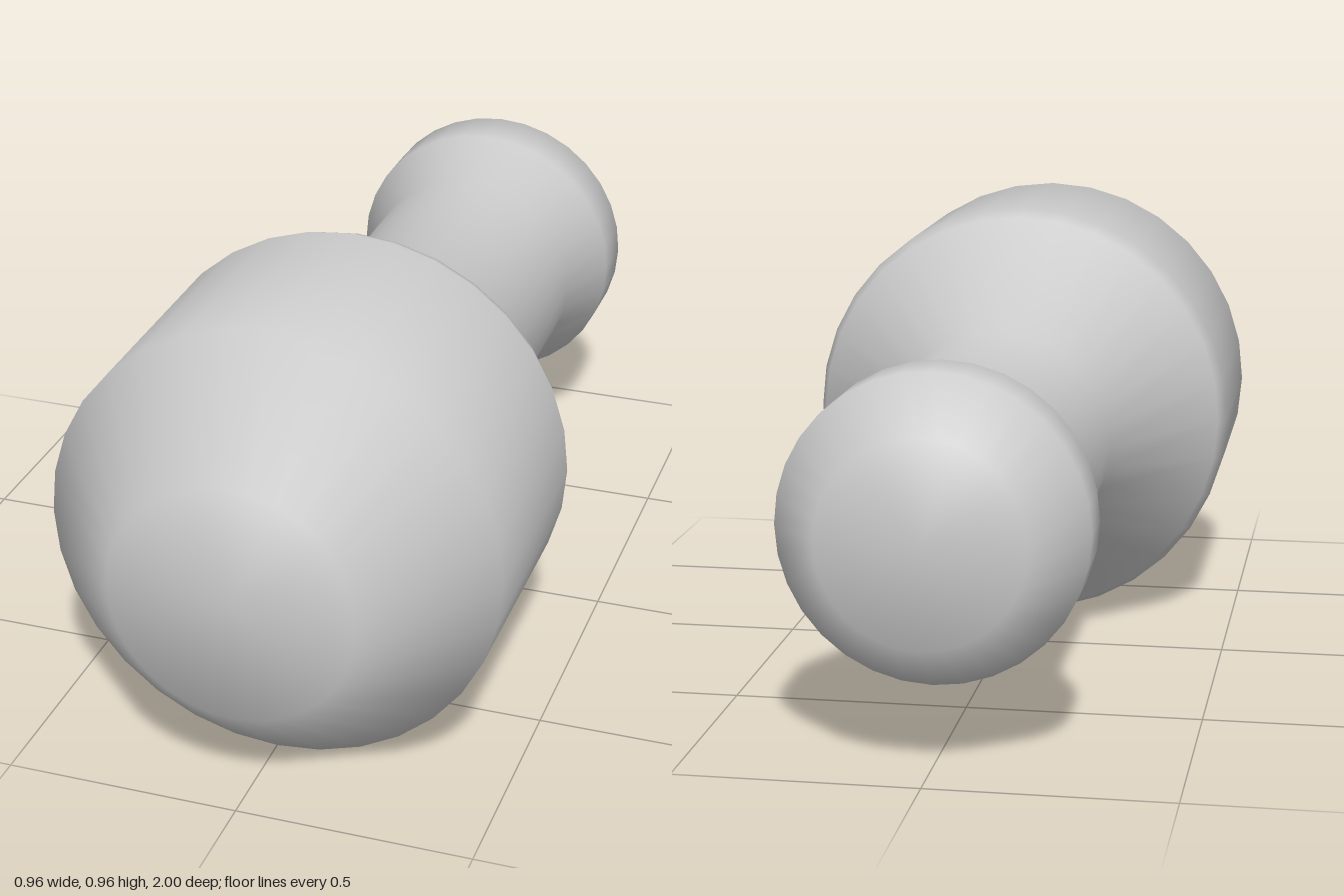
import * as THREE from 'three';

const RADIUS = 0.482;

// Radius and z along the axis, from the back of the handle to the front of the head
const PROFILE = [
  [0, -1], [0.208, -1],                    // pommel end
  [0.313, -0.875], [0.313, -0.75],         // pommel rim
  [0.25, -0.605], [0.25, -0.08],           // grip
  [0.465, 0.225], [RADIUS, 0.265],         // shoulder
  [RADIUS, 0.76], [0.258, 1], [0, 1],      // head and its front face
];

export function createModel() {
  const model = new THREE.Group();
  model.name = 'pestle';

  // One smooth turned body, laid along z
  const points = PROFILE.map(([r, z]) => new THREE.Vector2(r, z));
  const geometry = new THREE.LatheGeometry(points, 32);
  geometry.rotateX(Math.PI / 2);

  const body = new THREE.Mesh(geometry, new THREE.MeshStandardMaterial({ color: 0xcccccc }));
  body.name = 'turnedBody';
  body.position.y = RADIUS;
  model.add(body);
  return model;
}
